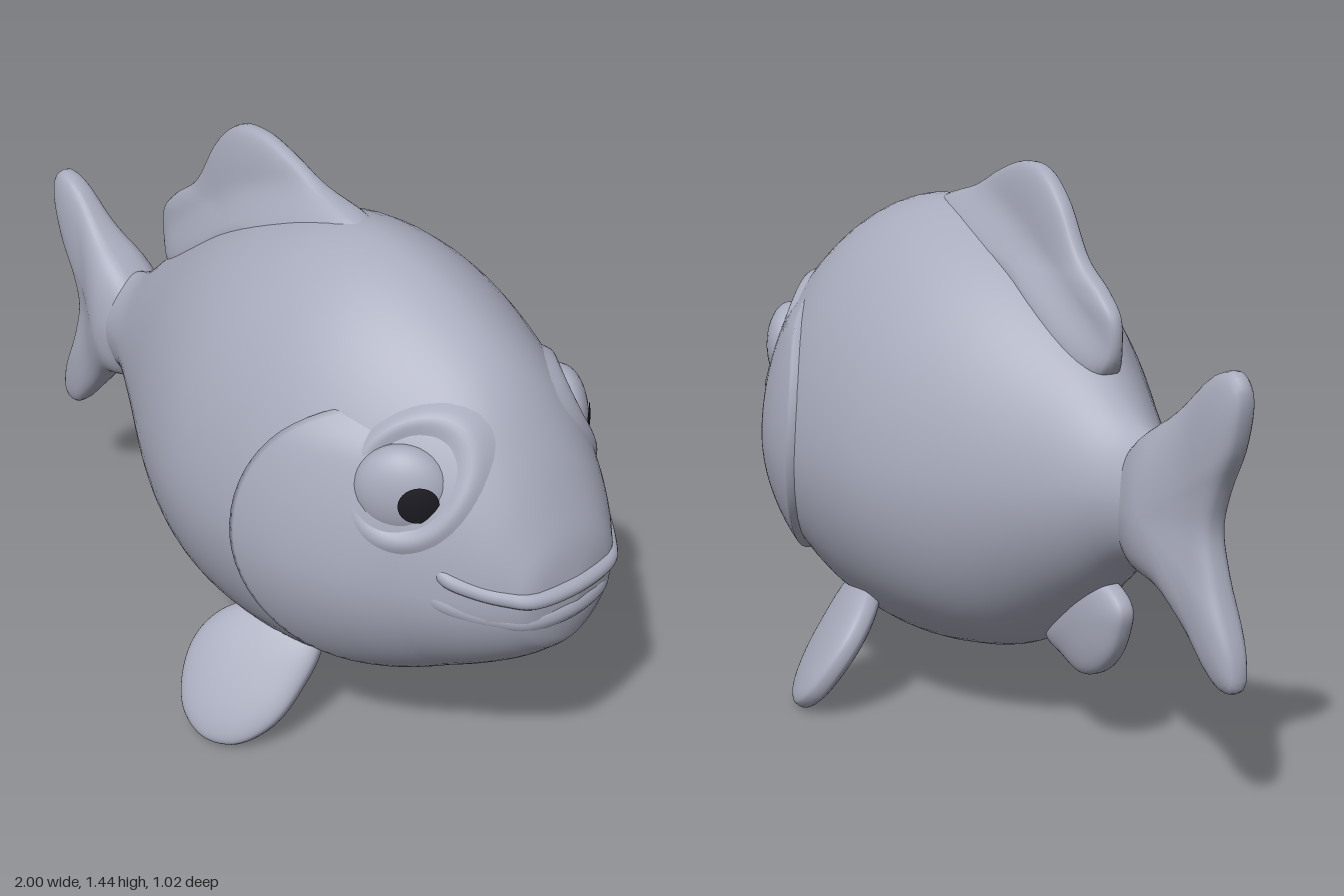
import * as THREE from 'three';
import { mergeVertices } from 'three/addons/utils/BufferGeometryUtils.js';

const { clamp, smoothstep } = THREE.MathUtils;
const skin = new THREE.MeshStandardMaterial({ color: 0xa8abbc });
skin.name = 'greySkin';
const black = new THREE.MeshStandardMaterial({ color: 0x1b1b22 });
black.name = 'pupilBlack';

// Body stations: x, bottom, top, half width, height of the widest point
const STATIONS = [
  [-0.9, 0.67, 0.69, 0, 0.68], [-0.86, 0.61, 0.77, 0.02, 0.69], [-0.75, 0.56, 0.83, 0.08, 0.7],
  [-0.6, 0.525, 0.875, 0.125, 0.7], [-0.45, 0.41, 1.0, 0.205, 0.68], [-0.2, 0.225, 1.18, 0.35, 0.66],
  [0, 0.165, 1.275, 0.43, 0.66], [0.2, 0.148, 1.325, 0.453, 0.66], [0.4, 0.18, 1.305, 0.443, 0.66],
  [0.6, 0.26, 1.22, 0.385, 0.65], [0.75, 0.335, 1.11, 0.303, 0.65], [0.86, 0.405, 0.965, 0.235, 0.65],
  [0.93, 0.465, 0.835, 0.175, 0.65], [0.965, 0.515, 0.75, 0.12, 0.65], [0.982, 0.63, 0.66, 0, 0.645],
];

// Cubic interpolation of the body stations at x
function station(x) {
  const S = STATIONS, n = S.length;
  let i = 0;
  while (i < n - 2 && x > S[i + 1][0]) i++;
  const h = S[i + 1][0] - S[i][0];
  const t = clamp((x - S[i][0]) / h, 0, 1);
  const slope = (k, c) => {
    const a = Math.max(k - 1, 0), b = Math.min(k + 1, n - 1);
    return (S[b][c] - S[a][c]) / (S[b][0] - S[a][0]);
  };
  const f = (c) => (2 * t ** 3 - 3 * t * t + 1) * S[i][c] + (t ** 3 - 2 * t * t + t) * h * slope(i, c)
    + (3 * t * t - 2 * t ** 3) * S[i + 1][c] + (t ** 3 - t * t) * h * slope(i + 1, c);
  return { bottom: f(1), top: f(2), w: Math.max(f(3), 0), mid: f(4) };
}
const power = (x, up) => (up ? 1.8 + 0.35 * smoothstep(x, 0.6, 0.95) : 1.95);

// Half width of the body at a side-on point
function bodyZ(x, y) {
  const s = station(x), up = y > s.mid, p = power(x, up);
  const r = Math.min(Math.abs((y - s.mid) / ((up ? s.top : s.bottom) - s.mid)), 1);
  return s.w * (1 - r ** p) ** (1 / p);
}

// Smooth surface from a rule p(u, v), both from 0 to 1
function surface(rule, nu, nv, flip = false) {
  const pos = [], idx = [];
  for (let i = 0; i <= nu; i++)
    for (let j = 0; j <= nv; j++) pos.push(...rule(i / nu, (j % nv) / nv));
  for (let i = 0; i < nu; i++)
    for (let j = 0; j < nv; j++) {
      const a = i * (nv + 1) + j, b = a + nv + 1;
      if (flip) idx.push(a, a + 1, b, b, a + 1, b + 1);
      else idx.push(a, b, a + 1, b, b + 1, a + 1);
    }
  let g = new THREE.BufferGeometry();
  g.setAttribute('position', new THREE.Float32BufferAttribute(pos, 3));
  g.setIndex(idx);
  g = mergeVertices(g, 1e-5);
  g.computeVertexNormals();
  return g;
}

// Oval patch that follows the body flank at a varying height above it
function flankPatch(cx, cy, rx, ry, height, side) {
  return surface((u, v) => {
    const s = Math.min(u * 1.04, 1), a = v * Math.PI * 2, e = 0.01;
    const x = cx + rx * s * Math.cos(a), y = cy + ry * s * Math.sin(a), z = bodyZ(x, y);
    const n = new THREE.Vector3(
      clamp((bodyZ(x - e, y) - bodyZ(x + e, y)) / (2 * e), -1.5, 1.5),
      clamp((bodyZ(x, y - e) - bodyZ(x, y + e)) / (2 * e), -1.5, 1.5), 1).normalize();
    const h = u === 1 ? -0.02 : height(s, x, y);
    return [x + n.x * h, y + n.y * h, side * (z + n.z * h)];
  }, 26, 64, side < 0);
}

// Pillow-shaped fin swelling from a counter-clockwise outline, half thickness given by a rule
function fin(outline, cx, cy, thick) {
  const curve = new THREE.CatmullRomCurve3(outline.map(([x, y]) => new THREE.Vector3(x, y, 0)), true);
  return surface((u, v) => {
    const p = curve.getPoint(v), s = Math.sin(u * Math.PI), c = Math.cos(u * Math.PI);
    const x = cx + (p.x - cx) * s, y = cy + (p.y - cy) * s;
    return [x, y, thick(x, y) * Math.sign(c) * Math.abs(c) ** 0.65];
  }, 28, 72);
}

export function createModel() {
  const model = new THREE.Group();
  model.name = 'fish';
  const add = (name, geometry, parent = model, material = skin) => {
    const m = new THREE.Mesh(geometry, material);
    m.name = name;
    parent.add(m);
    return m;
  };

  // Body: egg-shaped sections, stations packed closer at both ends
  add('body', surface((u, v) => {
    const x = 0.041 - 0.941 * Math.cos(u * Math.PI);
    const s = station(x), a = v * Math.PI * 2, sy = Math.sin(a), cz = Math.cos(a);
    const q = 2 / power(x, sy > 0);
    const h = sy > 0 ? s.top - s.mid : s.mid - s.bottom;
    return [x, s.mid + Math.sign(sy) * h * Math.abs(sy) ** q, Math.sign(cz) * s.w * Math.abs(cz) ** q];
  }, 64, 64));

  // Fins on the centre line, thickened where they meet the body
  add('tailFin', fin([
    [-0.64, 0.84], [-0.78, 0.94], [-0.9, 1.045], [-0.965, 1.06], [-0.998, 1.02], [-0.98, 0.9],
    [-0.925, 0.78], [-0.9, 0.68], [-0.93, 0.56], [-0.995, 0.4], [-0.995, 0.33], [-0.95, 0.32],
    [-0.85, 0.41], [-0.75, 0.51], [-0.64, 0.55], [-0.56, 0.7],
  ], -0.74, 0.69, (x) => 0.06 + 0.05 * smoothstep(x, -0.86, -0.7)));
  add('dorsalFin', fin([
    [-0.45, 0.95], [-0.2, 1.08], [0.1, 1.22], [0.26, 1.31], [0.1, 1.365], [0, 1.41], [-0.11, 1.443],
    [-0.2, 1.435], [-0.28, 1.37], [-0.37, 1.23], [-0.46, 1.16], [-0.51, 1.1], [-0.505, 1.0],
  ], -0.17, 1.2, (x, y) => 0.045 + 0.05 * (1 - smoothstep(y - station(x).top, -0.05, 0.1))));
  add('analFin', fin([
    [-0.53, 0.44], [-0.565, 0.4], [-0.555, 0.34], [-0.52, 0.27], [-0.46, 0.215], [-0.39, 0.195],
    [-0.31, 0.22], [-0.24, 0.25], [-0.27, 0.36], [-0.4, 0.47],
  ], -0.4, 0.34, () => 0.05));

  for (const side of [1, -1]) {
    const label = side > 0 ? 'left' : 'right';

    // Paddle fin splayed out and down, rear edge turned outward
    const paddle = add(label + 'PectoralFin', fin([
      [0.05, 0.07], [-0.05, 0.03], [-0.125, -0.04], [-0.158, -0.13], [-0.145, -0.23], [-0.095, -0.315],
      [-0.015, -0.35], [0.07, -0.325], [0.135, -0.24], [0.16, -0.13], [0.15, 0.02],
    ], 0, -0.14, () => 0.047));
    paddle.position.set(0.22, 0.293, side * 0.285);
    paddle.rotation.set(-side * 0.64, side * 0.33, 0);

    // Cheek plate with a raised rear edge
    add(label + 'GillCover', flankPatch(0.62, 0.7, 0.33, 0.37, (s, x, y) =>
      0.02 - 0.03 * smoothstep(x, 0.4, 0.9) - 0.022 * smoothstep(y, 0.95, 1.07), side));

    // Raised ring and brow round the eye
    add(label + 'EyeSocket', flankPatch(0.69, 0.915, 0.145, 0.175, (s, x, y) =>
      -0.012 + (0.022 + 0.04 * Math.max(y - 0.95, 0)) * Math.exp(-(((s - 0.78) / 0.2) ** 2)), side));

    // Flattened eyeball with the pupil looking forward
    const eye = new THREE.Group();
    eye.name = label + 'Eye';
    eye.position.set(0.664, 0.882, side * 0.267);
    eye.rotation.y = side > 0 ? 0.64 : Math.PI - 0.64;
    model.add(eye);
    add('eyeball', new THREE.SphereGeometry(0.118, 32, 20), eye).scale.z = 0.55;
    add('pupil', surface((u, v) => {
      const a = v * Math.PI * 2;
      const x = side * 0.045 + 0.046 * u * Math.cos(a), y = 0.047 * u * Math.sin(a);
      return [x, y, 0.065 * Math.sqrt(1 - (x * x + y * y) / 0.0139) + 0.004];
    }, 6, 28), eye, black);
  }

  // Lips sunk into the snout, corners turned up
  const lip = (name, dy, dx, radius, sink) => {
    const half = [[0.775, 0.7], [0.8, 0.685], [0.86, 0.662], [0.92, 0.648], [0.955, 0.642]];
    const at = (side) => ([x, y], i) =>
      new THREE.Vector3(x + dx, y + dy, side * (bodyZ(x, y + dy) - (i ? sink : 0.035)));
    const path = [...half.map(at(1)), new THREE.Vector3(0.977 + dx, 0.642 + dy, 0), ...half.map(at(-1)).reverse()];
    add(name, new THREE.TubeGeometry(new THREE.CatmullRomCurve3(path), 60, radius, 16));
  };
  lip('upperLip', 0.022, 0, 0.022, 0.016);
  lip('lowerLip', -0.045, -0.026, 0.036, 0.024);

  return model;
}
